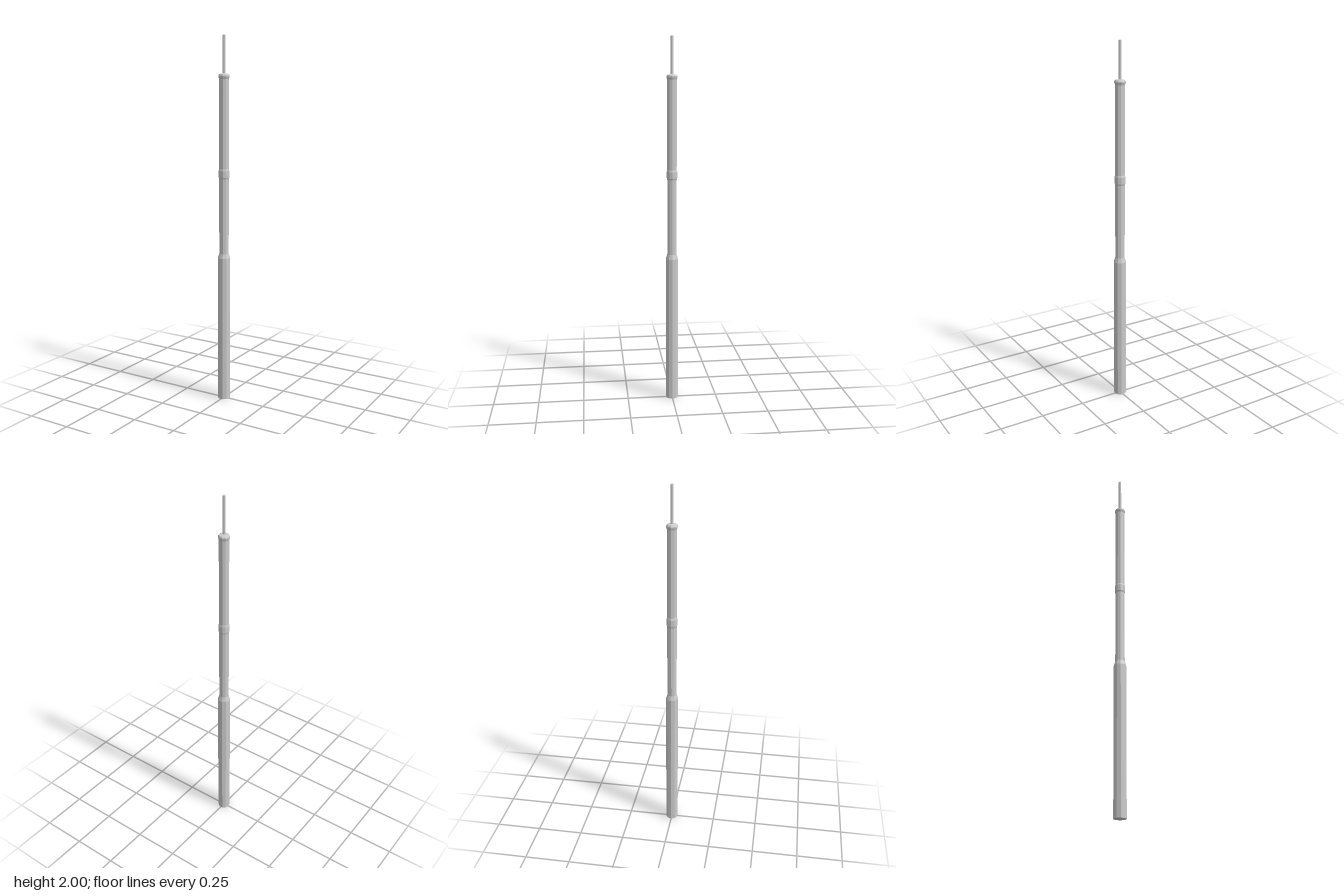
import * as THREE from 'three';

const SIDES = 10;

export function createModel() {
  const group = new THREE.Group();
  const material = new THREE.MeshStandardMaterial({ color: 0xcccccc, flatShading: true });

  // Turned part from [radius, height] pairs, bottom to top
  const turned = (name, profile, sides = SIDES) => {
    const points = profile.map(([r, y]) => new THREE.Vector2(r, y));
    const mesh = new THREE.Mesh(new THREE.LatheGeometry(points, sides, Math.PI / 2), material);
    mesh.name = name;
    group.add(mesh);
  };

  // Thick lower section with a sloped shoulder
  turned('lowerPole', [[0, 0], [0.034, 0], [0.034, 0.81], [0.026, 0.835]]);

  // Slimmer upper section
  turned('upperPole', [[0.026, 0.83], [0.026, 1.78]]);

  // Bevelled band around the upper section
  turned('band', [[0.026, 1.245], [0.029, 1.255], [0.029, 1.29], [0.026, 1.3]]);

  // Flared cap with a shallow cone on top
  turned('cap', [[0.026, 1.775], [0.03, 1.787], [0.03, 1.793], [0.026, 1.8], [0.008, 1.804], [0, 1.804]]);

  // Thin rod at the tip
  turned('tipRod', [[0.008, 1.8], [0.008, 2], [0, 2]], 8);

  return group;
}
